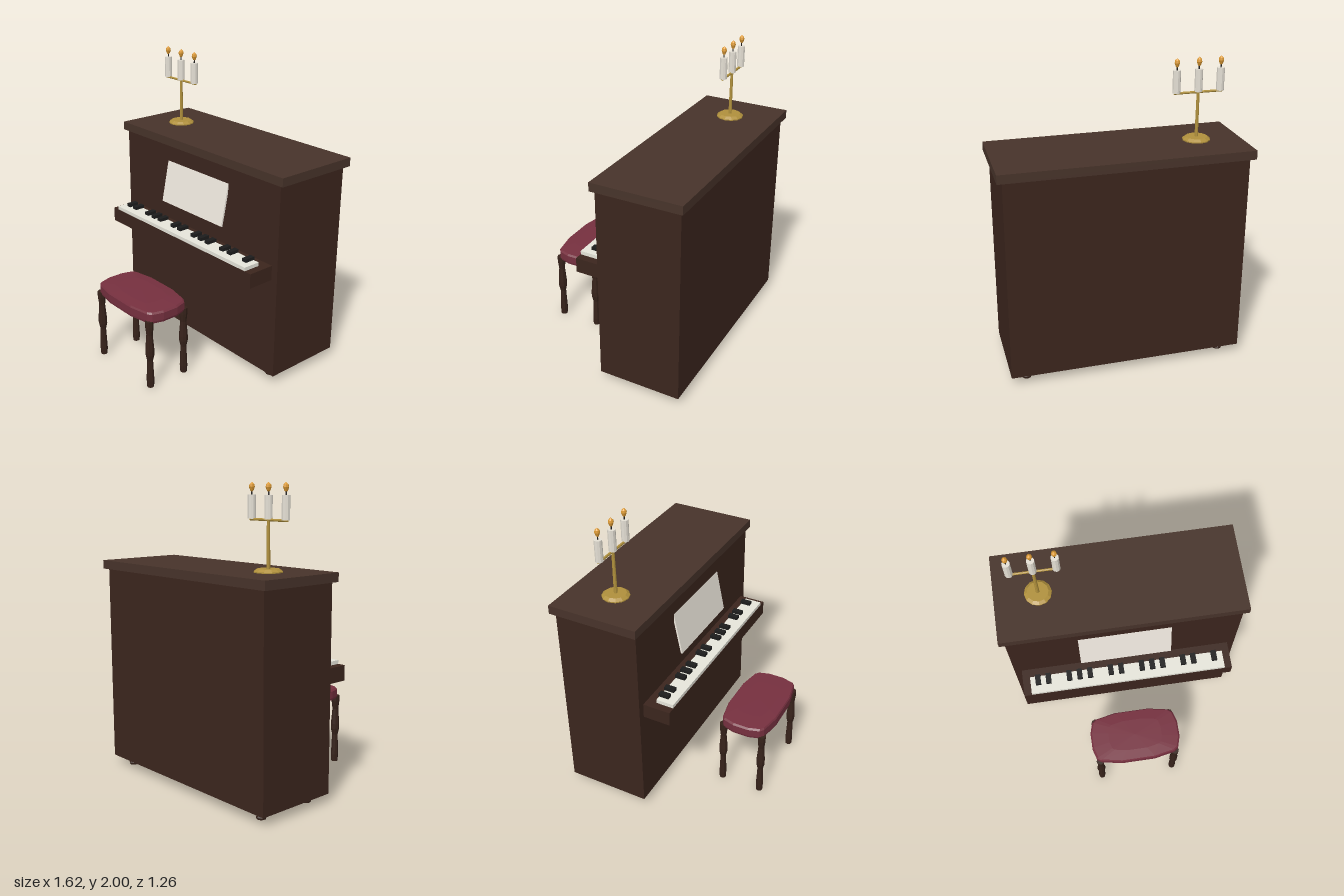
import * as THREE from 'three';

const mat = (color, extra = {}) => new THREE.MeshStandardMaterial({ color, flatShading: true, ...extra });
const wood = mat(0x3b251d), lidWood = mat(0x47332a), legWood = mat(0x36221a);
const ivory = mat(0xe6e5da), ebony = mat(0x1c1c1c), paper = mat(0xece6dc);
const velvet = mat(0x76303f), brass = mat(0xb0903c), wax = mat(0xe4dfd4), flameMat = mat(0xdc9a34);

function add(parent, name, geometry, material, x = 0, y = 0, z = 0) {
  const mesh = new THREE.Mesh(geometry, material);
  mesh.name = name;
  mesh.position.set(x, y, z);
  parent.add(mesh);
  return mesh;
}

// Box given by its minimum and maximum on each axis
function slab(parent, name, material, [x0, x1], [y0, y1], [z0, z1]) {
  return add(parent, name, new THREE.BoxGeometry(x1 - x0, y1 - y0, z1 - z0), material,
    (x0 + x1) / 2, (y0 + y1) / 2, (z0 + z1) / 2);
}

const turned = (profile, sides) =>
  new THREE.LatheGeometry(profile.map(([r, y]) => new THREE.Vector2(r, y)), sides);

// Cushion lofted from scaled copies of one rounded outline
function cushionGeometry() {
  const quarter = [[0.315, 0.055], [0.292, 0.132], [0.265, 0.152], [0.12, 0.18]];
  const mirror = (sx, sz) => quarter.map(([x, z]) => [x * sx, z * sz]);
  const outline = [...mirror(1, 1), ...mirror(-1, 1).reverse(), ...mirror(-1, -1), ...mirror(1, -1).reverse()];
  const rings = [[0, 0.475], [0.985, 0.475], [1, 0.49], [1, 0.54], [0.965, 0.551], [0.6, 0.558], [0, 0.56]];
  const n = outline.length, positions = [], index = [];
  for (const [s, y] of rings) for (const [x, z] of outline) positions.push(x * s, y, z * s);
  for (let r = 0; r < rings.length - 1; r++) {
    for (let i = 0; i < n; i++) {
      const a = r * n + i, b = r * n + (i + 1) % n;
      index.push(a, a + n, b, b, a + n, b + n);
    }
  }
  const g = new THREE.BufferGeometry();
  g.setAttribute('position', new THREE.Float32BufferAttribute(positions, 3));
  g.setIndex(index);
  g.computeVertexNormals();
  return g;
}

function buildPiano() {
  const piano = new THREE.Group();
  piano.name = 'piano';
  slab(piano, 'body', wood, [-0.775, 0.775], [0.06, 1.41], [-0.61, -0.04]);
  slab(piano, 'lid', lidWood, [-0.808, 0.808], [1.407, 1.465], [-0.635, -0.02]);
  slab(piano, 'keyBed', wood, [-0.727, 0.727], [0.755, 0.855], [-0.06, 0.148]);
  slab(piano, 'whiteKeys', ivory, [-0.674, 0.674], [0.85, 0.88], [0.026, 0.146]);

  // Black keys in groups of two and three
  for (const i of [0, 1, 3, 4, 5, 7, 8, 10, 11, 12, 14, 15, 17]) {
    const x = -0.62 + i * 0.0724;
    slab(piano, 'blackKey', ebony, [x - 0.018, x + 0.018], [0.875, 0.902], [0.02, 0.092]);
  }

  // Music sheet leaning against the front
  const sheet = add(piano, 'musicSheet', new THREE.BoxGeometry(0.62, 0.306, 0.012), paper, 0, 1.15, -0.018);
  sheet.rotation.x = -0.2;

  // Turned feet
  const foot = turned([[0, 0], [0.03, 0], [0.033, 0.012], [0.026, 0.022], [0.037, 0.036], [0.03, 0.046], [0.037, 0.062], [0, 0.062]], 10);
  for (const x of [-0.665, 0.665]) for (const z of [-0.125, -0.52]) add(piano, 'foot', foot, legWood, x, 0, z);
  return piano;
}

function buildStool() {
  const stool = new THREE.Group();
  stool.name = 'stool';
  stool.position.z = 0.45;
  add(stool, 'cushion', cushionGeometry(), velvet);
  const leg = turned([[0, 0], [0.023, 0], [0.026, 0.05], [0.02, 0.2], [0.03, 0.245], [0.03, 0.28], [0.021, 0.39], [0.028, 0.45], [0.028, 0.49], [0, 0.49]], 8);
  for (const x of [-0.27, 0.27]) for (const z of [-0.141, 0.141]) add(stool, 'stoolLeg', leg, legWood, x, 0, z);
  return stool;
}

function buildCandelabra() {
  const holder = new THREE.Group();
  holder.name = 'candelabra';
  holder.position.set(-0.52, 1.465, -0.33);
  add(holder, 'base', turned([[0, 0], [0.09, 0], [0.09, 0.007], [0.07, 0.022], [0, 0.022]], 12), brass);
  add(holder, 'stem', new THREE.CylinderGeometry(0.01, 0.012, 0.3, 8), brass, 0, 0.165, 0);
  add(holder, 'arm', new THREE.CylinderGeometry(0.008, 0.008, 0.32, 8), brass, 0, 0.312, 0).rotation.z = Math.PI / 2;

  const candle = new THREE.CylinderGeometry(0.025, 0.025, 0.144, 10);
  const wick = new THREE.CylinderGeometry(0.004, 0.004, 0.025, 6);
  const flame = turned([[0, 0], [0.01, 0.008], [0.018, 0.03], [0.015, 0.045], [0, 0.06]], 8);
  for (const x of [-0.145, 0, 0.145]) {
    add(holder, 'candle', candle, wax, x, 0.387, 0);
    add(holder, 'wick', wick, ebony, x, 0.469, 0);
    add(holder, 'flame', flame, flameMat, x, 0.475, 0);
  }
  return holder;
}

export function createModel() {
  const model = new THREE.Group();
  model.name = 'uprightPianoSet';
  model.add(buildPiano(), buildStool(), buildCandelabra());
  return model;
}
